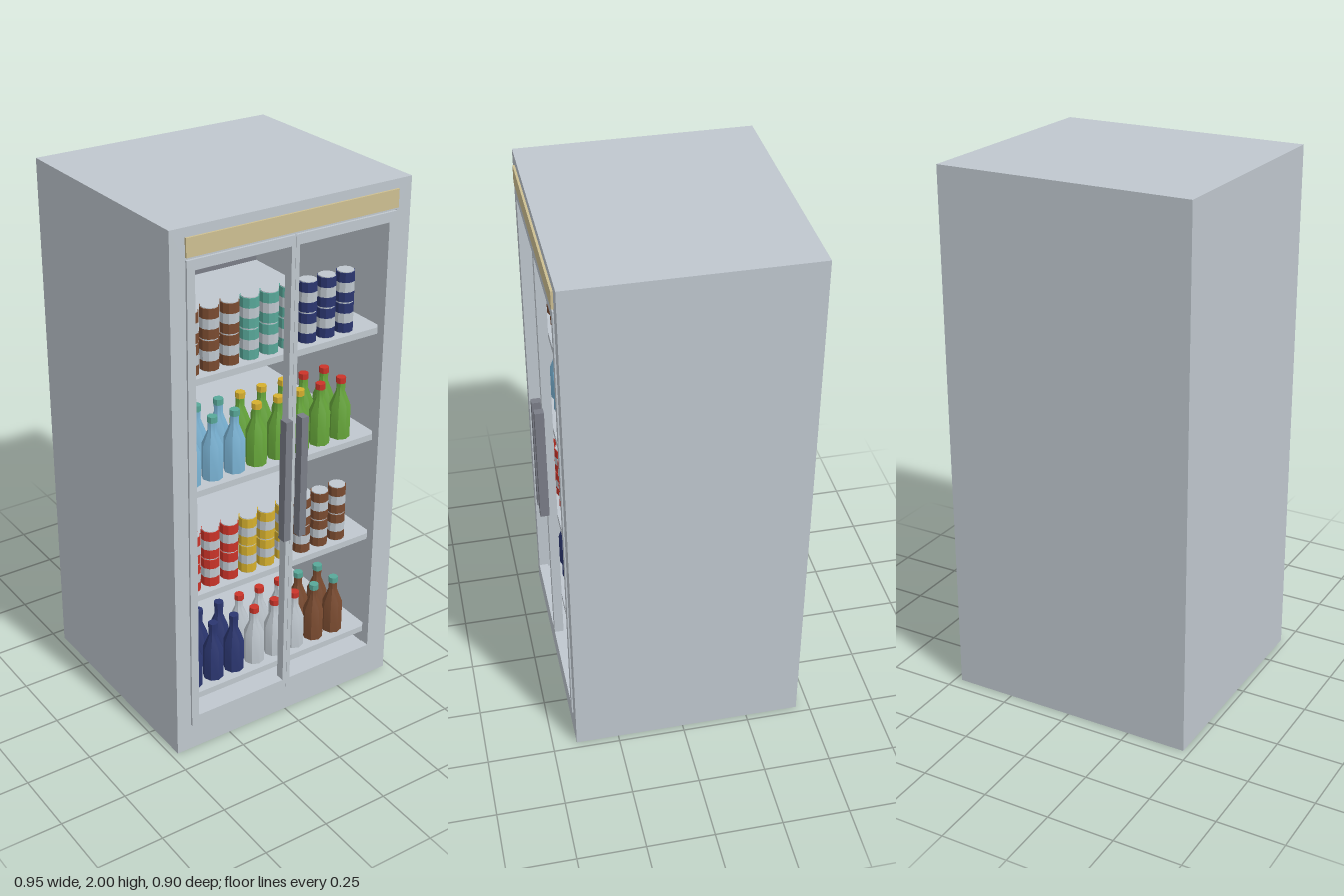
import * as THREE from 'three';
import { toCreasedNormals } from 'three/addons/utils/BufferGeometryUtils.js';

const colours = {
  paleGrey: 0xbfc7ce, darkGrey: 0x7a7d87, tan: 0xcdbf92, brown: 0x7a4b30, teal: 0x58a899,
  navy: 0x2b3670, lightBlue: 0x7ab3d4, green: 0x66a63a, yellow: 0xd6b02e, red: 0xcb3429,
};

export function createModel() {
  const model = new THREE.Group();
  model.name = 'drinksCooler';
  const mats = {};
  for (const [name, color] of Object.entries(colours)) {
    mats[name] = new THREE.MeshStandardMaterial({ color });
    mats[name].name = name;
  }

  const add = (parent, name, geo, mat, x = 0, y = 0, z = 0) => {
    const mesh = new THREE.Mesh(geo, mats[mat]);
    mesh.name = name;
    mesh.position.set(x, y, z);
    parent.add(mesh);
    return mesh;
  };
  // box given by its limits on each axis
  const box = (name, mat, x0, x1, y0, y1, z0, z1) =>
    add(model, name, new THREE.BoxGeometry(x1 - x0, y1 - y0, z1 - z0), mat,
      (x0 + x1) / 2, (y0 + y1) / 2, (z0 + z1) / 2);
  const rect = (Type, x0, x1, y0, y1) => new Type([
    new THREE.Vector2(x0, y0), new THREE.Vector2(x1, y0),
    new THREE.Vector2(x1, y1), new THREE.Vector2(x0, y1)]);
  // rectangular frame with rectangular openings
  const frame = (name, mat, outer, holes, z0, z1) => {
    const shape = rect(THREE.Shape, ...outer);
    shape.holes = holes.map(h => rect(THREE.Path, ...h));
    const geo = new THREE.ExtrudeGeometry(shape, { depth: z1 - z0, bevelEnabled: false });
    return add(model, name, geo, mat, 0, 0, z0);
  };

  // cabinet shell, back and lining
  frame('cabinet', 'paleGrey', [-0.475, 0.475, 0, 2], [[-0.417, 0.417, 0.1, 1.893]], -0.41, 0.41);
  box('cabinetBack', 'paleGrey', -0.475, 0.475, 0, 2, -0.45, -0.41);
  box('backLining', 'darkGrey', -0.417, 0.417, 0.1, 1.893, -0.41, -0.402);
  box('signPanel', 'tan', -0.418, 0.418, 1.902, 1.967, 0.41, 0.418);

  // pair of doors with handles
  for (const s of [-1, 1]) {
    const span = (a, b) => s > 0 ? [a, b] : [-b, -a];
    frame(s > 0 ? 'leftDoor' : 'rightDoor', 'paleGrey', [...span(0.0005, 0.415), 0.102, 1.891],
      [[...span(0.016, 0.385), 0.14, 1.855]], 0.38, 0.415);
    box(s > 0 ? 'leftHandle' : 'rightHandle', 'darkGrey', ...span(0.019, 0.047), 0.77, 1.24, 0.413, 0.447);
  }

  // shelves
  const shelfTops = [0.19, 0.61, 1.03, 1.45];
  for (const y of shelfTops) box('shelf', 'paleGrey', -0.417, 0.417, y - 0.024, y, -0.402, 0.36);

  // bottle and can shapes
  const lathe = (points, sides) => toCreasedNormals(
    new THREE.LatheGeometry(points.map(p => new THREE.Vector2(...p)), sides), 0.5);
  const bottleGeo = lathe([[0, 0], [0.038, 0], [0.038, 0.125], [0.016, 0.18], [0.016, 0.212], [0, 0.212]], 8);
  const capGeo = lathe([[0, 0], [0.018, 0], [0.018, 0.022], [0, 0.022]], 8);
  const tube = (r, h) => lathe([[0, 0], [r, 0], [r, h], [0, h]], 10);
  const endGeo = tube(0.031, 0.003);
  const paintGeo = tube(0.034, 0.0355);
  const bandGeo = tube(0.034, 0.036);

  const bottle = (body, cap, x, y, z) => {
    const g = new THREE.Group();
    g.name = 'bottle';
    g.position.set(x, y, z);
    add(g, 'bottleBody', bottleGeo, body);
    add(g, 'bottleCap', capGeo, cap, 0, 0.212);
    model.add(g);
  };
  const can = (body, x, y, z) => {
    const g = new THREE.Group();
    g.name = 'can';
    g.position.set(x, y, z);
    add(g, 'canBase', endGeo, 'paleGrey');
    add(g, 'canLower', paintGeo, body, 0, 0.003);
    add(g, 'canBand', bandGeo, 'paleGrey', 0, 0.0385);
    add(g, 'canUpper', paintGeo, body, 0, 0.0745);
    add(g, 'canTop', endGeo, 'paleGrey', 0, 0.11);
    model.add(g);
  };

  // two rows of bottles, in groups of three, three and two
  const bottleShelves = [
    [shelfTops[0], [['navy', 'navy'], ['paleGrey', 'red'], ['brown', 'teal']]],
    [shelfTops[2], [['lightBlue', 'teal'], ['green', 'yellow'], ['green', 'red']]],
  ];
  for (const [y, kinds] of bottleShelves)
    for (let i = 0; i < 8; i++)
      for (const z of [0.3, 0.2])
        bottle(...kinds[Math.floor(i / 3)], -0.34 + i * 0.091, y, z);

  // cans stacked two high, in groups of three
  const canShelves = [
    [shelfTops[1], ['red', 'yellow', 'brown']],
    [shelfTops[3], ['brown', 'teal', 'navy']],
  ];
  for (const [y, kinds] of canShelves)
    for (let i = 0; i < 9; i++)
      for (let level = 0; level < 2; level++)
        can(kinds[Math.floor(i / 3)], -0.345 + i * 0.0793, y + level * 0.113, 0.31);

  return model;
}
